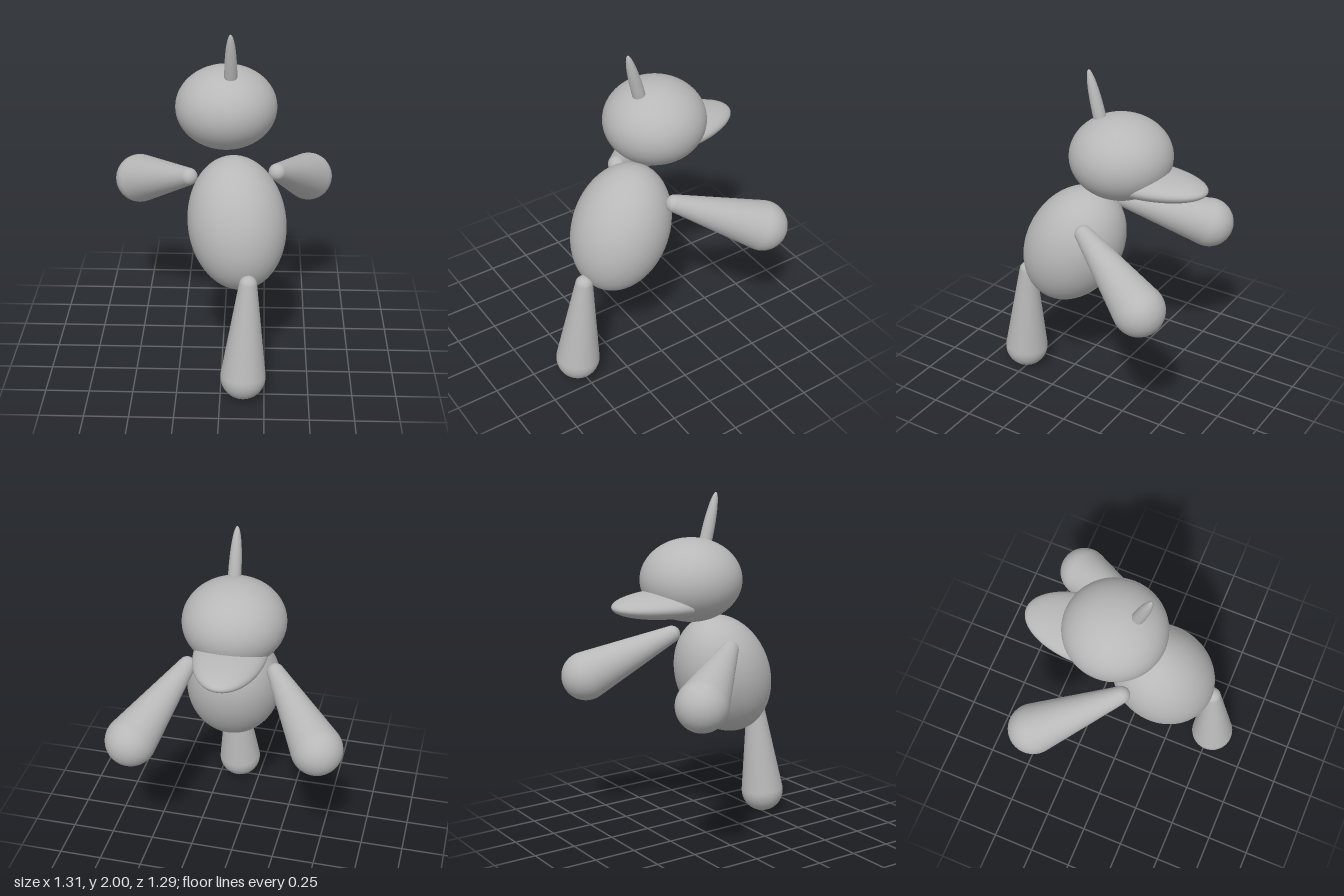
import * as THREE from 'three';

const UP = new THREE.Vector3(0, 1, 0);

export function createModel() {
  const group = new THREE.Group();
  const clay = new THREE.MeshStandardMaterial({ color: 0xb8b8b8 });
  clay.name = 'plain grey';

  // Add a mesh whose local y axis points along the given direction
  function add(name, geometry, position, direction = [0, 1, 0], parent = group) {
    const mesh = new THREE.Mesh(geometry, clay);
    mesh.name = name;
    mesh.position.set(...position);
    mesh.quaternion.setFromUnitVectors(UP, new THREE.Vector3(...direction).normalize());
    parent.add(mesh);
    return mesh;
  }

  // Ellipsoid with radii x, y, z
  const ellipsoid = (rx, ry, rz) => new THREE.SphereGeometry(1, 64, 40).scale(rx, ry, rz);

  // Half ellipsoid with a flat base, rising along local y
  function halfEllipsoid(name, rx, length, rz, position, direction) {
    const part = new THREE.Group();
    part.name = name;
    const dome = new THREE.SphereGeometry(1, 48, 24, 0, Math.PI * 2, 0, Math.PI / 2);
    add(name + 'Dome', dome.scale(rx, length, rz), position, direction, part);
    const base = new THREE.CircleGeometry(1, 48).rotateX(Math.PI / 2);
    add(name + 'Base', base.scale(rx, 1, rz), position, direction, part);
    group.add(part);
  }

  // Tapered limb: one closed outline of two round ends joined by tangent lines
  function limb(name, from, to, rSmall, rBig) {
    const axis = new THREE.Vector3(...to).sub(new THREE.Vector3(...from));
    const length = axis.length();
    const tilt = Math.asin((rBig - rSmall) / length);
    const profile = [];
    const arc = (r, y, a0, a1) => {
      for (let i = 0; i <= 16; i++) {
        const a = a0 + (a1 - a0) * i / 16;
        profile.push(new THREE.Vector2(Math.max(0, r * Math.cos(a)), y + r * Math.sin(a)));
      }
    };
    arc(rSmall, 0, -Math.PI / 2, -tilt);
    arc(rBig, length, -tilt, Math.PI / 2);
    add(name, new THREE.LatheGeometry(profile, 48), from, axis.toArray());
  }

  // Leaning egg-shaped body and flattened round head
  add('body', ellipsoid(0.278, 0.38, 0.278), [0.085, 0.931, 0.18], [-0.12, 0.89, -0.44]);
  add('head', ellipsoid(0.288, 0.236, 0.29), [0.016, 1.524, -0.09]);

  // Horn and broad flat bill
  halfEllipsoid('horn', 0.036, 0.272, 0.036, [0.044, 1.737, 0.031], [0, 0.262, 0.07]);
  halfEllipsoid('bill', 0.2, 0.39, 0.078, [0.002, 1.406, -0.22], [-0.016, 0.006, -0.39]);

  // Two arms and a single leg
  limb('leftArm', [0.31, 1.152, -0.03], [0.508, 0.925, -0.503], 0.05, 0.144);
  limb('rightArm', [-0.193, 1.143, 0.03], [-0.513, 0.952, -0.38], 0.05, 0.145);
  limb('leg', [0.153, 0.692, 0.472], [0.13, 0.128, 0.518], 0.05, 0.128);

  return group;
}
